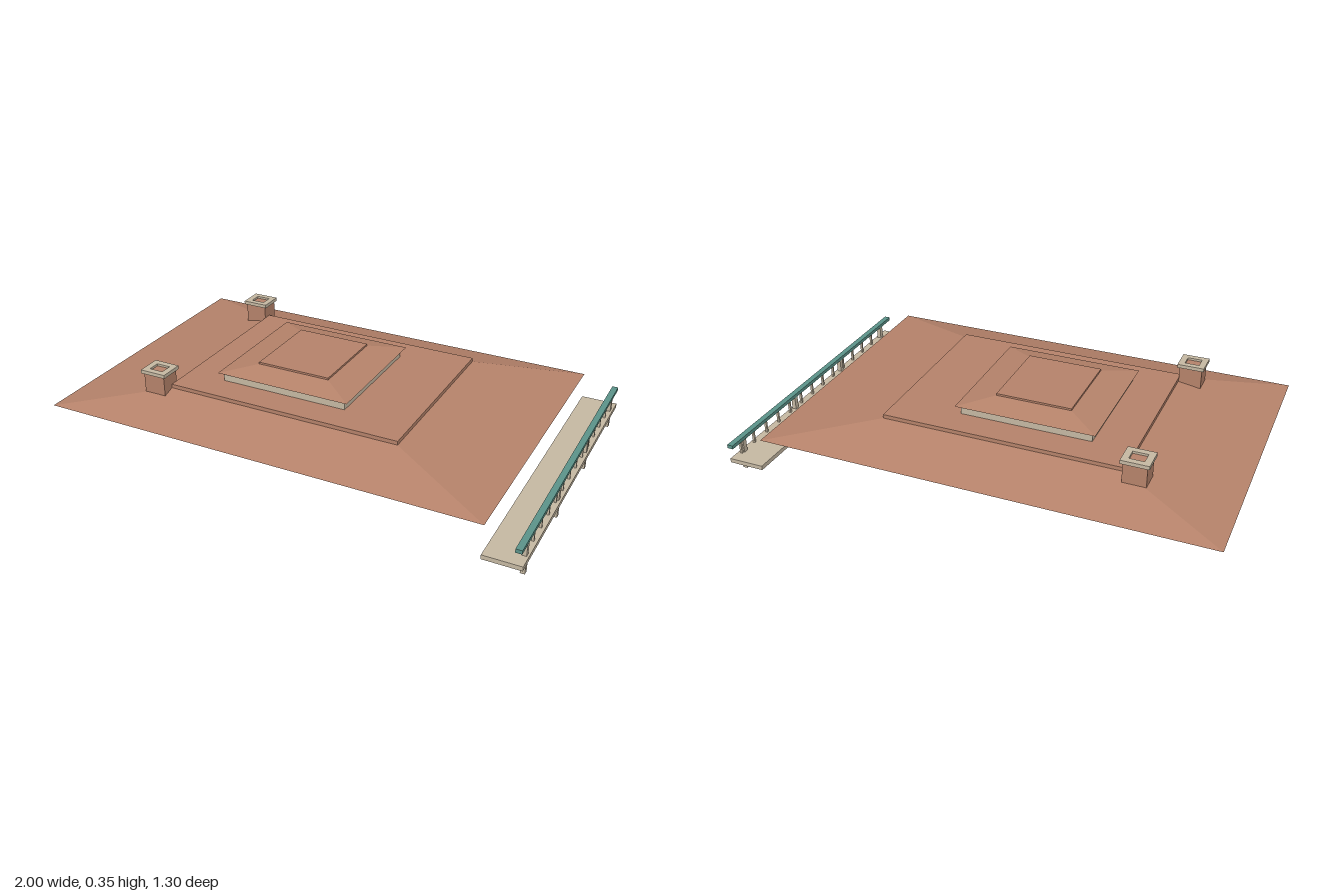
import * as THREE from 'three';

const material = (name, color) => {
  const m = new THREE.MeshStandardMaterial({ color, side: THREE.DoubleSide });
  m.name = name;
  return m;
};

// Shell lofted through rectangles [x0, x1, halfDepth, y], bottom to top; open below
function shell(rings, closedTop = true) {
  const pos = [];
  const corners = ([x0, x1, h, y]) => [[x0, y, h], [x1, y, h], [x1, y, -h], [x0, y, -h]];
  const quad = (a, b, c, d) => pos.push(...a, ...b, ...c, ...a, ...c, ...d);
  for (let i = 0; i < rings.length - 1; i++) {
    const lo = corners(rings[i]), hi = corners(rings[i + 1]);
    for (let k = 0; k < 4; k++) {
      const n = (k + 1) % 4;
      quad(lo[k], lo[n], hi[n], hi[k]);
    }
  }
  if (closedTop) quad(...corners(rings[rings.length - 1]));
  const g = new THREE.BufferGeometry();
  g.setAttribute('position', new THREE.Float32BufferAttribute(pos, 3));
  g.computeVertexNormals();
  return g;
}

// Straight-sided shell
const openBox = (x0, x1, h, y0, y1) => shell([[x0, x1, h, y0], [x0, x1, h, y1]]);

// Flat rectangular frame lying in the xz plane, rising from y = 0
function frame(w, d, innerW, innerD, height) {
  const rect = (C, a, b) => {
    const s = new C();
    s.moveTo(-a / 2, -b / 2);
    s.lineTo(a / 2, -b / 2);
    s.lineTo(a / 2, b / 2);
    s.lineTo(-a / 2, b / 2);
    s.closePath();
    return s;
  };
  const shape = rect(THREE.Shape, w, d);
  shape.holes.push(rect(THREE.Path, innerW, innerD));
  return new THREE.ExtrudeGeometry(shape, { depth: height, bevelEnabled: false }).rotateX(-Math.PI / 2);
}

export function createModel() {
  const terracotta = material('terracotta', 0xb5826a);
  const stone = material('pale stone', 0xc5b8a2);
  const teal = material('teal paint', 0x5b9389);

  const model = new THREE.Group();
  model.name = 'pavilionRoof';
  const add = (name, geometry, mat, x = 0, y = 0, z = 0, parent = model) => {
    const mesh = new THREE.Mesh(geometry, mat);
    mesh.name = name;
    mesh.position.set(x, y, z);
    parent.add(mesh);
    return mesh;
  };

  // Wide hipped roof, with a flat terrace over its opening
  add('mainRoof', shell([[-1, 0.85, 0.625, 0.19], [-0.577, 0.423, 0.388, 0.26]], false), terracotta);
  add('roofTerrace', openBox(-0.577, 0.423, 0.388, 0.26, 0.276), terracotta);

  // Raised lantern with its own small hipped roof
  add('lanternWall', openBox(-0.406, 0.142, 0.263, 0.255, 0.314), stone);
  add('lanternRoof', shell([
    [-0.423, 0.16, 0.282, 0.314],
    [-0.29, 0.026, 0.177, 0.339],
    [-0.29, 0.026, 0.177, 0.347],
  ]), terracotta);

  // Pair of chimneys with framed caps
  for (const side of [1, -1]) {
    const chimney = new THREE.Group();
    chimney.name = side > 0 ? 'frontChimney' : 'backChimney';
    chimney.position.set(-0.625, 0, side * 0.395);
    model.add(chimney);
    add('chimneyStack', openBox(-0.047, 0.047, 0.042, 0.22, 0.334), terracotta, 0, 0, 0, chimney);
    add('chimneyCap', frame(0.112, 0.1, 0.06, 0.05, 0.015), stone, 0, 0.328, 0, chimney);
  }

  // Balcony: deck, full-height posts, balusters and handrail
  const balcony = new THREE.Group();
  balcony.name = 'balcony';
  model.add(balcony);
  const railX = 0.983;
  add('deck', openBox(0.85, 1, 0.638, 0.058, 0.076), stone, 0, 0, 0, balcony);
  add('handrail', new THREE.BoxGeometry(0.025, 0.015, 1.298), teal, railX, 0.141, 0, balcony);
  const post = new THREE.BoxGeometry(0.018, 0.135, 0.02);
  for (let i = 0; i < 4; i++) {
    add('post', post, stone, railX, 0.0675, 0.567 - i * 0.378, balcony);
  }
  const baluster = new THREE.BoxGeometry(0.009, 0.06, 0.009);
  for (let i = 0; i < 14; i++) {
    add('baluster', baluster, stone, railX, 0.105, 0.567 - i * 0.0885, balcony);
  }
  return model;
}
